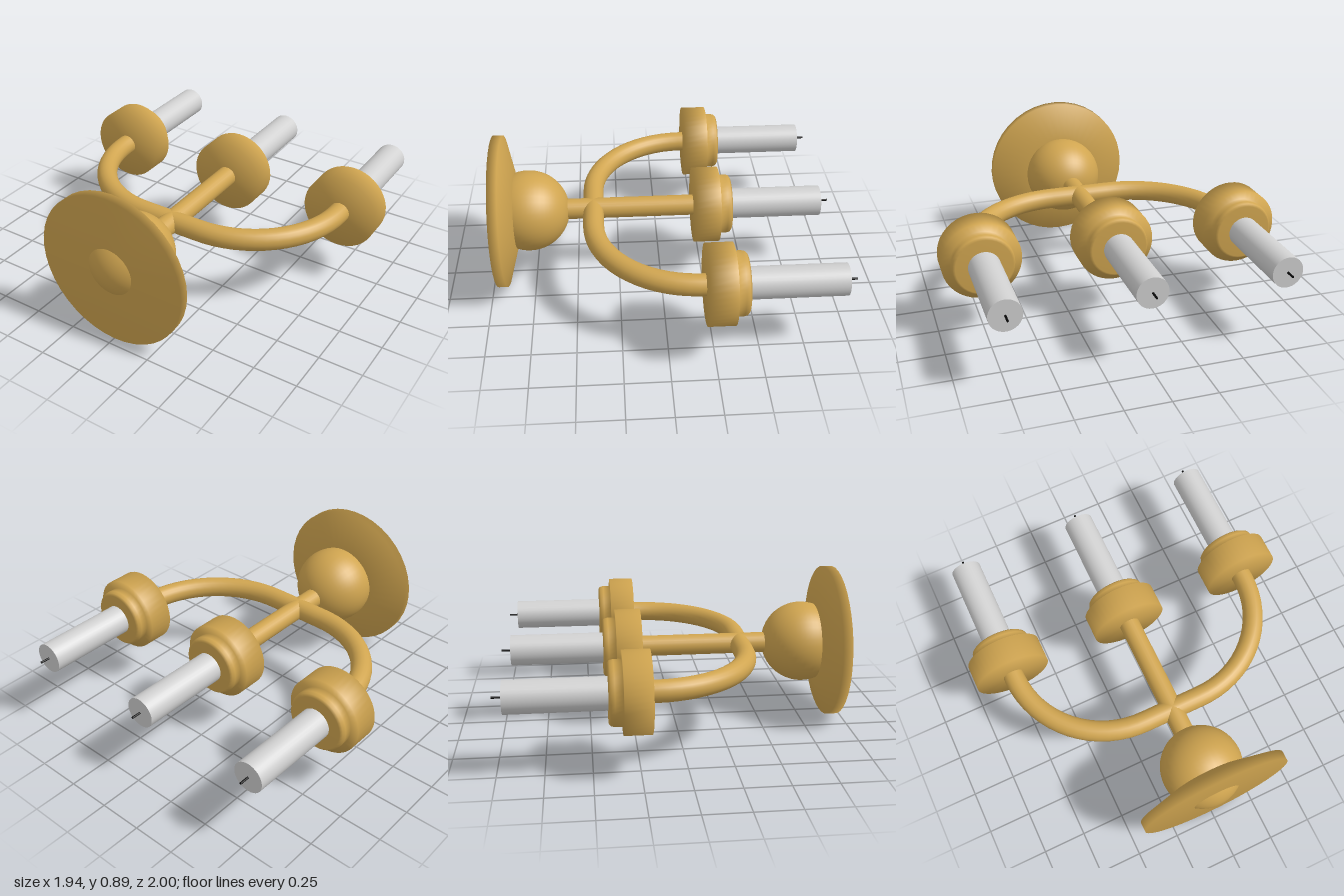
import * as THREE from 'three';

const gold = new THREE.MeshStandardMaterial({ color: 0xd0a550 });
gold.name = 'gold';
const wax = new THREE.MeshStandardMaterial({ color: 0xd0d0d0 });
wax.name = 'greyWax';
const black = new THREE.MeshStandardMaterial({ color: 0x080808 });
black.name = 'blackWick';

function add(parent, name, geometry, material, x = 0, y = 0) {
  const mesh = new THREE.Mesh(geometry, material);
  mesh.name = name;
  mesh.position.set(x, y, 0);
  parent.add(mesh);
  return mesh;
}

// Smoothly shaded turned part from [radius, height] pairs
const turned = (points) =>
  new THREE.LatheGeometry(points.map(([r, y]) => new THREE.Vector2(r, y)), 40);

export function createModel() {
  const model = new THREE.Group();
  model.name = 'candelabra';

  // Upright construction, height along y, laid down so its top points to -z
  const body = new THREE.Group();
  body.name = 'candelabraBody';
  body.rotation.x = -Math.PI / 2;
  body.position.set(0, 0.445, 1);
  model.add(body);

  // Foot with a sloping top, and the ball that pokes through it
  add(body, 'foot', turned([[0, 0.045], [0.443, 0.045], [0.443, 0.1], [0.222, 0.16], [0, 0.16]]), gold);
  add(body, 'ball', new THREE.SphereGeometry(0.235, 40, 28), gold, 0, 0.235);

  // Central stem
  add(body, 'stem', new THREE.CylinderGeometry(0.06, 0.06, 0.8, 24), gold, 0, 0.82);

  // Arms: short straight run, then a quarter circle up to the outer cups
  for (const side of [1, -1]) {
    const path = new THREE.CurvePath();
    const corner = new THREE.Vector3(side * 0.18, 0.61, 0);
    path.add(new THREE.LineCurve3(new THREE.Vector3(0, 0.61, 0), corner));
    const k = 0.57 * 0.5523;
    path.add(new THREE.CubicBezierCurve3(
      corner,
      new THREE.Vector3(side * (0.18 + k), 0.61, 0),
      new THREE.Vector3(side * 0.75, 1.18 - k, 0),
      new THREE.Vector3(side * 0.75, 1.18, 0)));
    path.add(new THREE.LineCurve3(
      new THREE.Vector3(side * 0.75, 1.18, 0), new THREE.Vector3(side * 0.75, 1.22, 0)));
    add(body, side > 0 ? 'leftArm' : 'rightArm', new THREE.TubeGeometry(path, 20, 0.06, 20), gold);
  }

  // Cup, candle and wick on each of the three arms
  const cup = turned([
    [0, 1.195], [0.22, 1.195], [0.22, 1.342], [0.173, 1.342],
    [0.173, 1.385], [0.168, 1.405], [0.155, 1.415], [0, 1.415],
  ]);
  const candle = new THREE.CylinderGeometry(0.088, 0.088, 0.535, 32);
  const wick = new THREE.CylinderGeometry(0.006, 0.006, 0.06, 8);
  for (const [name, x] of [['right', -0.75], ['middle', 0], ['left', 0.75]]) {
    add(body, name + 'Cup', cup, gold, x);
    add(body, name + 'Candle', candle, wax, x, 1.6775);
    add(body, name + 'Wick', wick, black, x, 1.97);
  }

  return model;
}
